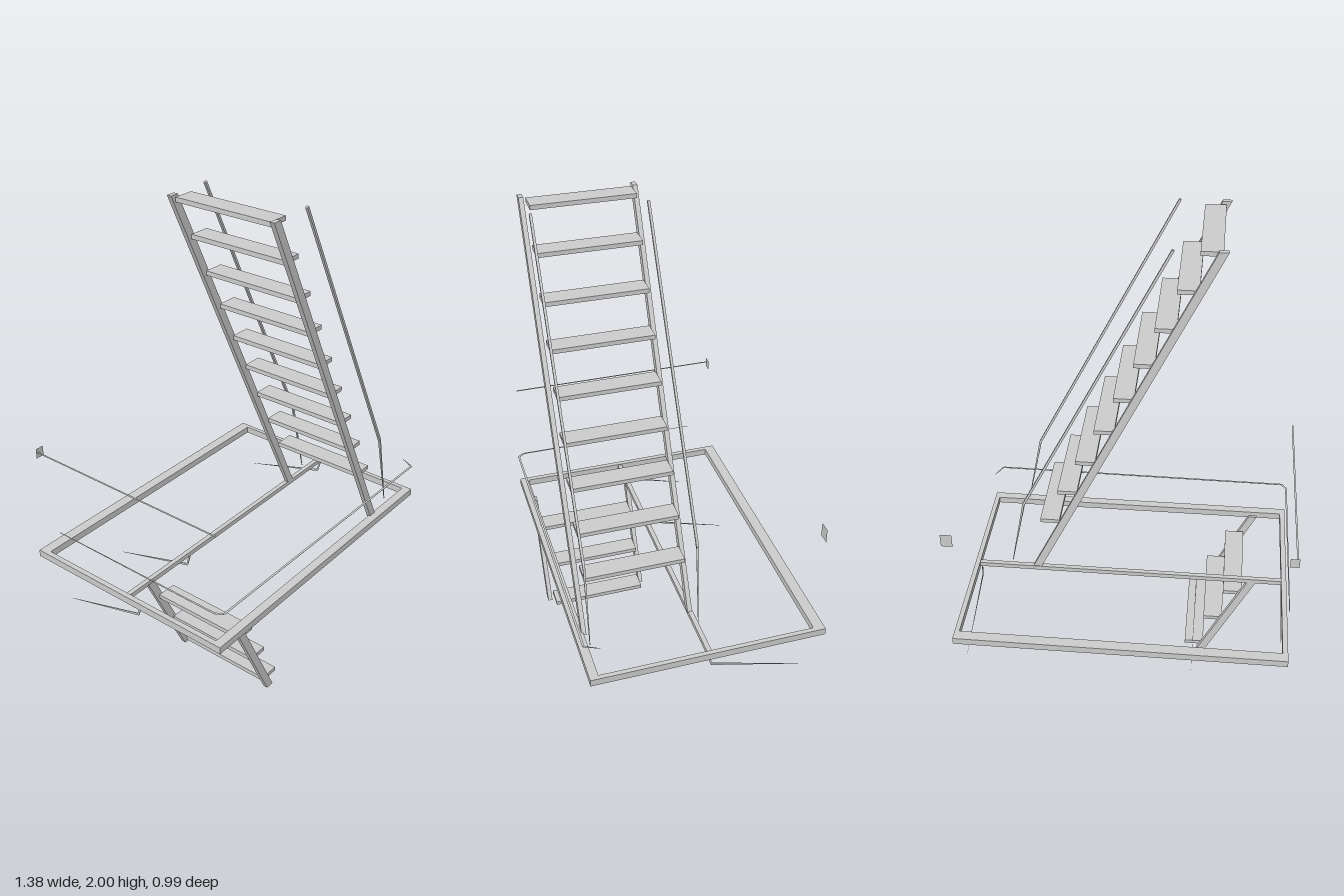
import * as THREE from 'three';

const mat = new THREE.MeshStandardMaterial({ color: 0xcccccc, flatShading: true, side: THREE.DoubleSide });

export function createModel() {
  const model = new THREE.Group();
  const add = (name, geometry) => {
    const mesh = new THREE.Mesh(geometry, mat);
    mesh.name = name;
    model.add(mesh);
    return mesh;
  };

  // Box given by its lower and upper corners
  const block = (name, [x0, y0, z0], [x1, y1, z1]) =>
    add(name, new THREE.BoxGeometry(x1 - x0, y1 - y0, z1 - z0))
      .position.set((x0 + x1) / 2, (y0 + y1) / 2, (z0 + z1) / 2);

  // Outline in the x-y plane, extruded from z0 to z1
  const slab = (name, points, z0, z1) => {
    const shape = new THREE.Shape(points.map(([x, y]) => new THREE.Vector2(x, y)));
    const geometry = new THREE.ExtrudeGeometry(shape, { depth: z1 - z0, bevelEnabled: false });
    add(name, geometry.translate(0, 0, z0));
  };

  // Bar between two points, w wide and h thick, narrowing to a share of itself at the far end
  const bar = (name, a, b, w, h, taper = 1) => {
    const from = new THREE.Vector3(...a), to = new THREE.Vector3(...b);
    const geometry = new THREE.BoxGeometry(w, h, from.distanceTo(to));
    const p = geometry.attributes.position;
    for (let i = 0; i < p.count; i++) {
      if (p.getZ(i) > 0) p.setXY(i, p.getX(i) * taper, p.getY(i) * taper);
    }
    const mesh = add(name, geometry);
    mesh.position.copy(from).add(to).multiplyScalar(0.5);
    mesh.lookAt(to);
  };

  // Platform frame and its middle rail
  block('backBeam', [-0.69, 0.43, -0.495], [0.68, 0.46, -0.45]);
  block('frontBeam', [-0.69, 0.43, 0.44], [0.68, 0.46, 0.477]);
  block('rightBeam', [-0.69, 0.43, -0.45], [-0.668, 0.46, 0.44]);
  block('leftBeam', [0.66, 0.43, -0.45], [0.68, 0.46, 0.44]);
  block('middleRail', [-0.67, 0.435, -0.02], [0.66, 0.455, 0]);

  // Two flights: centre line of the stringers, heights of the treads, nose of the lowest tread
  const flights = [
    { name: 'upper', bottom: [0.405, 0.45], top: [-0.342, 2], nose: 0.383, treads: [0.698, 0.857, 1.017, 1.177, 1.337, 1.5, 1.66, 1.825, 1.983] },
    { name: 'lower', bottom: [-0.333, 0], top: [-0.543, 0.44], nose: -0.26, treads: [0.022, 0.185, 0.348] },
  ];
  for (const { name, bottom: [xb, yb], top: [xt, yt], nose, treads } of flights) {
    const half = 0.018;
    for (const [z0, z1] of [[-0.017, 0.002], [0.428, 0.447]]) {
      slab(name + 'Stringer', [[xb - half, yb], [xb + half, yb], [xt + half, yt], [xt - half, yt]], z0, z1);
    }
    treads.forEach((y, i) => {
      const x = nose - 0.08 * i;
      block(name + 'Tread', [x - 0.083, y - 0.009, 0.005], [x, y + 0.009, 0.418]);
    });
  }

  // Stair handrails, bent near the foot
  for (const [zTop, zBend] of [[-0.012, -0.025], [0.435, 0.43]]) {
    bar('handrail', [0.444, 0.81, zBend], [-0.16, 2, zTop], 0.01, 0.01);
    bar('handrailFoot', [0.444, 0.81, zBend], [0.512, 0.48, zTop], 0.009, 0.009, 0.3);
  }

  // Thin flat guard rails round the platform
  bar('guardRailFront', [-0.665, 0.605, 0.478], [0.64, 0.605, 0.488], 0.009, 0.001);
  bar('guardRailFrontEnd', [0.64, 0.605, 0.488], [0.668, 0.605, 0.43], 0.007, 0.001, 0.4);
  bar('guardRailCorner', [-0.685, 0.605, 0.45], [-0.665, 0.605, 0.478], 0.009, 0.001);
  bar('guardRailRight', [-0.685, 0.605, 0.45], [-0.685, 0.605, -0.36], 0.008, 0.001, 0.4);
  bar('topRailRight', [-0.685, 0.95, 0.46], [-0.685, 0.95, -0.45], 0.007, 0.001);

  // Small end plates at the back corners
  for (const [x, y, w, h] of [[-0.674, 0.946, 0.036, 0.042], [0.666, 0.95, 0.046, 0.058]]) {
    add('endPlate', new THREE.PlaneGeometry(w, h)).position.set(x, y, -0.45);
  }

  // Thin bent braces under the middle rail
  for (const [x, z, y] of [[-0.675, 0.05, 0.39], [-0.3, -0.02, 0.38], [0.655, -0.02, 0.38]]) {
    bar('braceTop', [x, 0.435, z + 0.015], [x, y, z], 0.003, 0.008);
    bar('braceLeg', [x, y, z], [x, y - 0.11, z - 0.38], 0.003, 0.01, 0.15);
  }

  return model;
}
